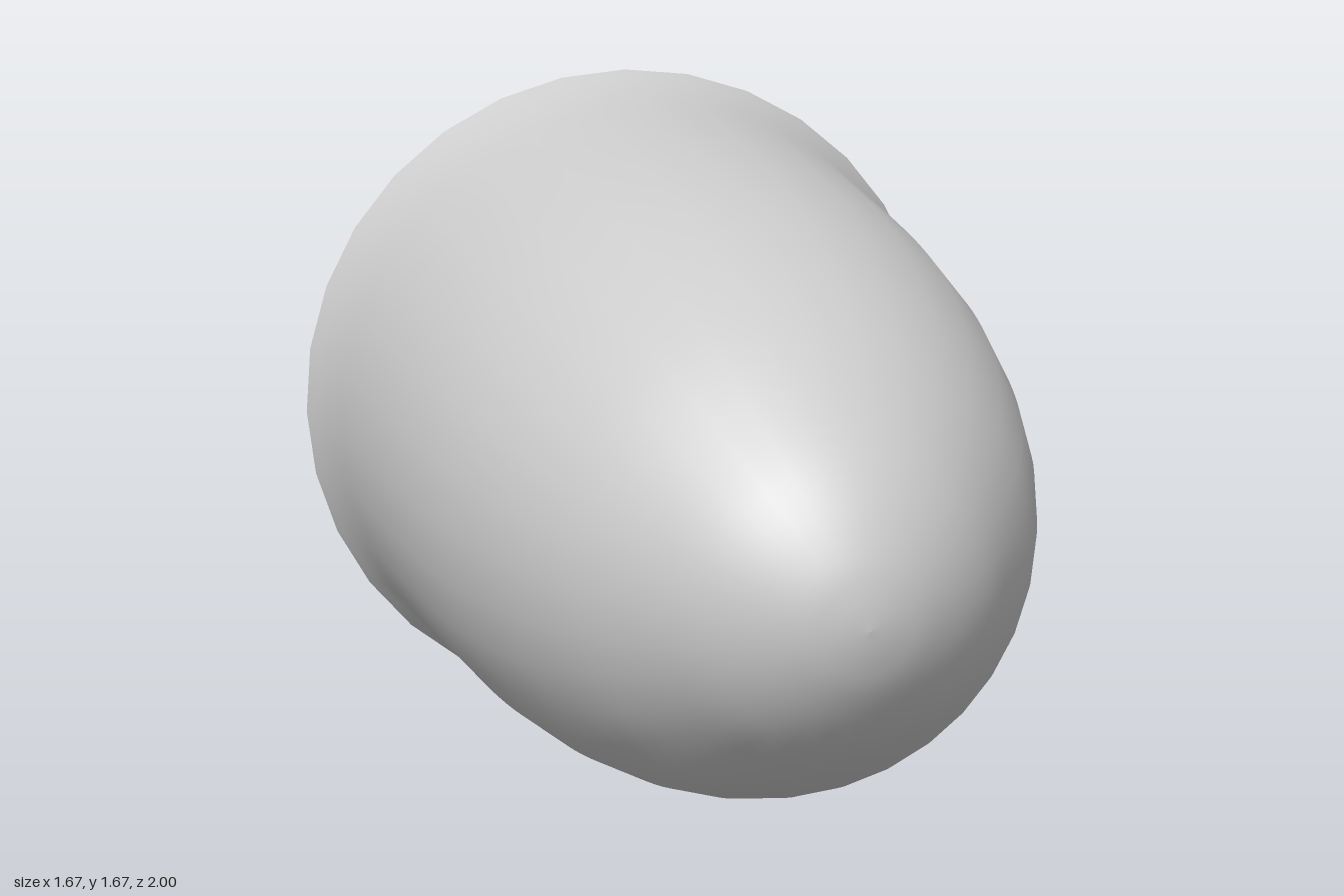
import * as THREE from 'three';

export function createModel() {
  const group = new THREE.Group();
  const radius = 0.834;

  // Profile from the flared open rim to the nose: radius, position along z
  const profile = new THREE.SplineCurve([
    [radius, -1], [0.805, -0.92], [0.78, -0.8], [0.757, -0.6], [0.737, -0.4],
    [0.714, -0.2], [0.683, 0], [0.638, 0.2], [0.575, 0.4], [0.482, 0.6],
    [0.343, 0.8], [0.243, 0.9], [0.14, 0.965], [0.06, 0.992], [0, 1],
  ].map(([r, z]) => new THREE.Vector2(r, z)));

  const points = profile.getPoints(56);
  points[points.length - 1].x = 0;

  // Thin open shell, turned so the nose points forward
  const geometry = new THREE.LatheGeometry(points, 32);
  geometry.rotateX(Math.PI / 2);
  const material = new THREE.MeshStandardMaterial({ color: 0xcccccc, side: THREE.DoubleSide });
  const shell = new THREE.Mesh(geometry, material);
  shell.name = 'noseConeShell';
  shell.position.y = radius;
  group.add(shell);

  return group;
}
